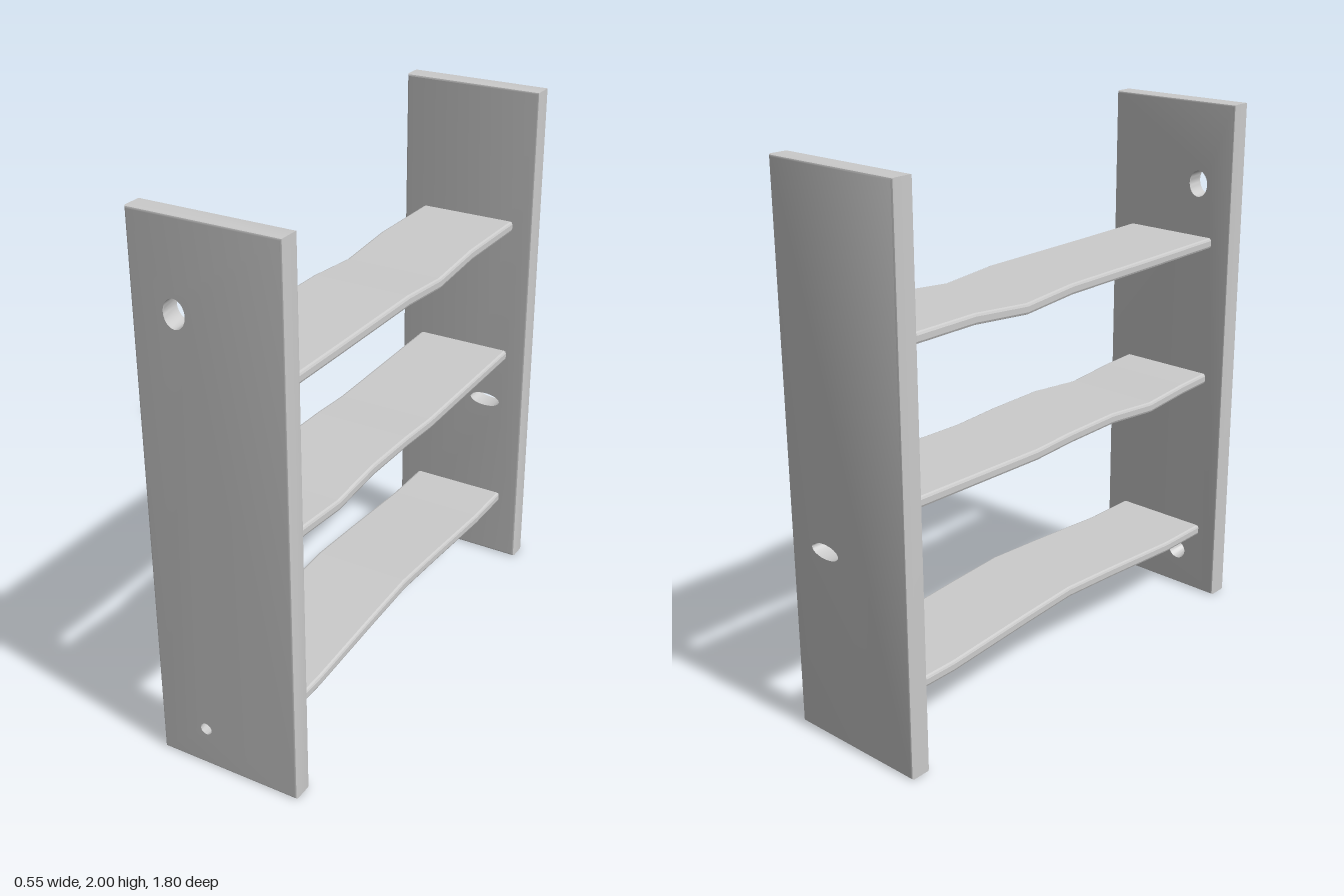
import * as THREE from 'three';
import { toCreasedNormals } from 'three/addons/utils/BufferGeometryUtils.js';

const W = 0.273, H = 2, T = 0.08, BEVEL = 0.008;
const material = new THREE.MeshStandardMaterial({ color: 0xcccccc });

// Upright board with tapered elliptical holes.
// hole: x, y, outer radii [rx, ry], inner radii [rx, ry], shift of the inner centre in x
function makePanel(name, outerZ, holes) {
  const b = BEVEL, inner = outerZ - Math.sign(outerZ) * T;
  const shape = new THREE.Shape();
  shape.moveTo(-W + b, b).lineTo(W - b, b).lineTo(W - b, H - b).lineTo(-W + b, H - b).closePath();
  for (const h of holes) {
    const path = new THREE.Path();
    path.absellipse(h.x, h.y, h.outer[0] + b, h.outer[1] + b, 0, Math.PI * 2, true);
    shape.holes.push(path);
  }
  const geo = new THREE.ExtrudeGeometry(shape, {
    depth: T - 2 * b, bevelThickness: b, bevelSize: b, bevelSegments: 2, curveSegments: 16,
  });
  geo.translate(0, 0, Math.min(outerZ, inner) + b);

  // Straighten each hole wall into a taper from the outer to the inner ellipse
  const p = geo.attributes.position;
  for (let i = 0; i < p.count; i++) {
    for (const h of holes) {
      const dx = p.getX(i) - h.x, dy = p.getY(i) - h.y;
      if (Math.hypot(dx, dy) > 0.12) continue;
      const k = (p.getZ(i) - outerZ) / (inner - outerZ);
      const a = Math.atan2(dy / h.outer[1], dx / h.outer[0]);
      const rx = THREE.MathUtils.lerp(h.outer[0], h.inner[0], k);
      const ry = THREE.MathUtils.lerp(h.outer[1], h.inner[1], k);
      p.setXY(i, h.x + h.shift * k + rx * Math.cos(a), h.y + ry * Math.sin(a));
    }
  }
  const mesh = new THREE.Mesh(toCreasedNormals(geo, 0.5), material);
  mesh.name = name;
  return mesh;
}

// Warped shelf board: [z, top y] points swept across x with chamfered long edges
function makeShelf(name, line) {
  const thick = 0.04, c = 0.01, half = 0.192;
  const shape = new THREE.Shape([
    ...line.map(([z, y]) => new THREE.Vector2(z, y)),
    ...line.slice().reverse().map(([z, y]) => new THREE.Vector2(z, y - thick)),
  ]);
  const geo = new THREE.ExtrudeGeometry(shape, {
    depth: 2 * (half - c), bevelThickness: c, bevelSize: c, bevelOffset: -c, bevelSegments: 2,
  });
  geo.translate(0, 0, c - half);
  geo.rotateY(-Math.PI / 2);
  const mesh = new THREE.Mesh(geo, material);
  mesh.name = name;
  return mesh;
}

export function createModel() {
  const group = new THREE.Group();
  group.name = 'shelfRack';

  group.add(makePanel('frontPanel', 0.9, [
    { x: -0.115, y: 1.69, outer: [0.04, 0.05], inner: [0.04, 0.05], shift: -0.008 },
    { x: -0.09, y: 0.15, outer: [0.022, 0.022], inner: [0.038, 0.038], shift: 0 },
  ]));
  group.add(makePanel('backPanel', -0.9, [
    { x: 0.108, y: 0.71, outer: [0.064, 0.027], inner: [0.064, 0.027], shift: 0 },
  ]));

  // Shelves run slightly into both panels
  group.add(makeShelf('topShelf',
    [[0.84, 1.49], [0.48, 1.487], [0, 1.485], [-0.23, 1.467], [-0.48, 1.49], [-0.84, 1.49]]));
  group.add(makeShelf('middleShelf',
    [[0.84, 0.945], [0.68, 0.939], [0.47, 0.922], [0.24, 0.943], [0, 0.94], [-0.18, 0.931], [-0.84, 0.946]]));
  group.add(makeShelf('bottomShelf',
    [[0.84, 0.288], [0.61, 0.288], [0.24, 0.314], [0, 0.328], [-0.24, 0.314], [-0.61, 0.288], [-0.84, 0.288]]));
  return group;
}
